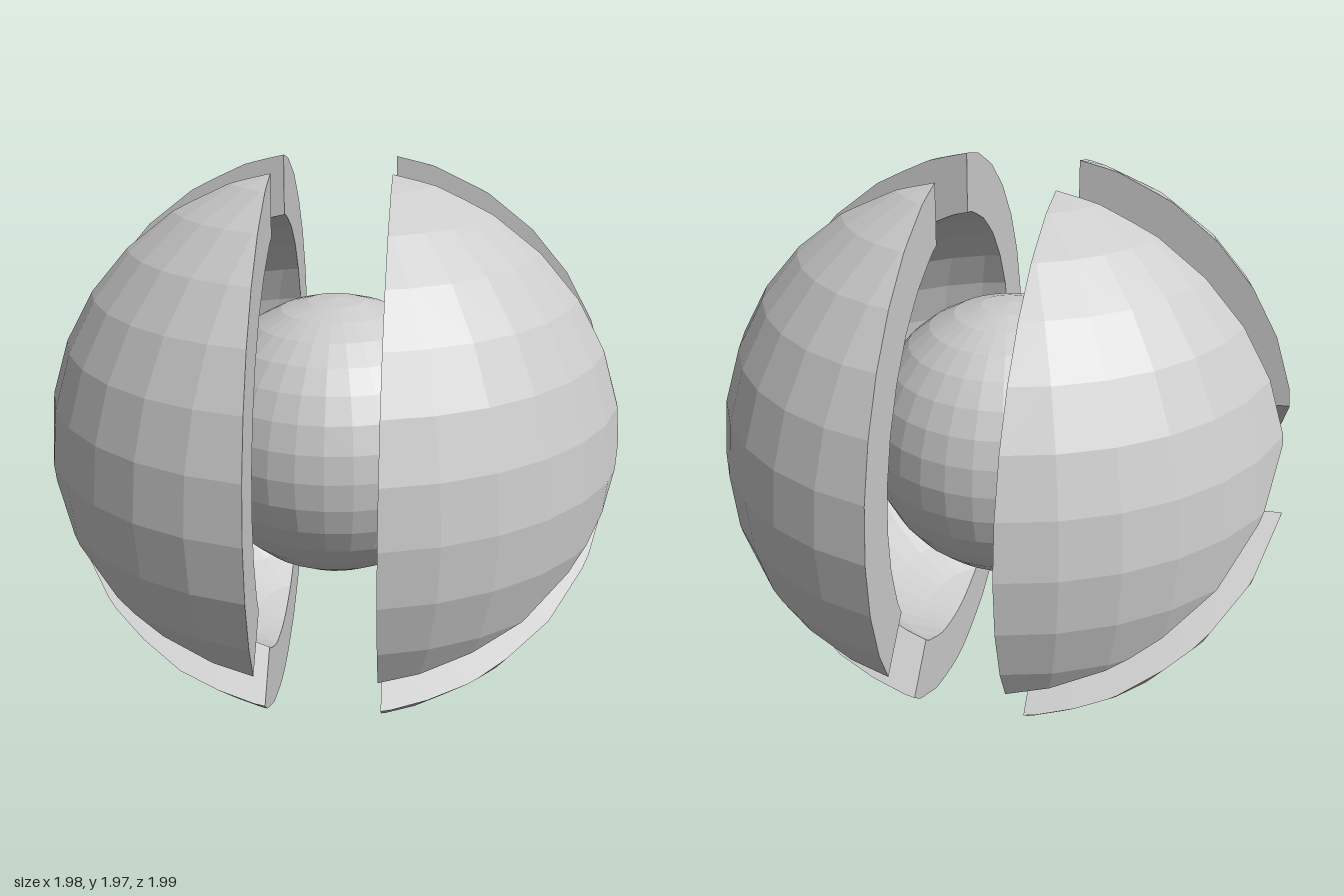
import * as THREE from 'three';

const OUTER = 1.015, INNER = 0.81, CORE = 0.505, CENTRE_Y = 1.0;
const COLS = 32, ROWS = 16;
const material = () => new THREE.MeshStandardMaterial({ color: 0xcccccc, flatShading: true });

// Point on a sphere by row (from the top pole) and column
function spherePoint(radius, row, col) {
  return new THREE.Vector3().setFromSphericalCoords(radius, (row / ROWS) * Math.PI, (col / COLS) * 2 * Math.PI);
}

// One thick cell of the shell: outer and inner faces show, the side walls do not
function shellCell(row, col) {
  const corners = [[row, col], [row + 1, col], [row + 1, col + 1], [row, col + 1]];
  const out = corners.map(([r, c]) => spherePoint(OUTER, r, c));
  const inn = corners.map(([r, c]) => spherePoint(INNER, r, c));
  const faces = [{ points: out, show: true }, { points: inn, show: true }];
  for (let i = 0; i < 4; i++) {
    const j = (i + 1) % 4;
    faces.push({ points: [out[i], out[j], inn[j], inn[i]], show: false });
  }
  return faces;
}

// Sort points lying in one plane around their middle
function sortAround(points, normal) {
  const mid = points.reduce((s, p) => s.add(p), new THREE.Vector3()).divideScalar(points.length);
  const u = new THREE.Vector3().subVectors(points[0], mid).normalize();
  const v = new THREE.Vector3().crossVectors(normal, u);
  const angle = (p) => {
    const d = p.clone().sub(mid);
    return Math.atan2(d.dot(v), d.dot(u));
  };
  return points.slice().sort((a, b) => angle(a) - angle(b));
}

// Keep the positive side of a plane and close the cut with a flat face
function clipCell(faces, plane) {
  const kept = [], cut = [];
  for (const { points, show } of faces) {
    const clipped = [];
    points.forEach((a, i) => {
      const b = points[(i + 1) % points.length];
      const da = plane.distanceToPoint(a), db = plane.distanceToPoint(b);
      if (da >= 0) clipped.push(a);
      if ((da >= 0) !== (db >= 0)) {
        const p = a.clone().lerp(b, da / (da - db));
        clipped.push(p);
        if (!cut.some((q) => q.distanceTo(p) < 1e-6)) cut.push(p);
      }
    });
    if (clipped.length > 2) kept.push({ points: clipped, show });
  }
  if (cut.length > 2) kept.push({ points: sortAround(cut, plane.normal), show: true });
  return kept;
}

// Part of the hollow sphere enclosed by a set of planes
function shellPiece(name, planes) {
  const positions = [];
  for (let row = 0; row < ROWS; row++) {
    for (let col = 0; col < COLS; col++) {
      const faces = planes.reduce(clipCell, shellCell(row, col));
      const all = faces.flatMap((f) => f.points);
      if (!all.length) continue;
      const middle = all.reduce((s, p) => s.add(p), new THREE.Vector3()).divideScalar(all.length);
      for (const { points, show } of faces) {
        if (!show) continue;
        for (let i = 1; i < points.length - 1; i++) {
          const tri = new THREE.Triangle(points[0], points[i], points[i + 1]);
          if (tri.getArea() < 1e-9) continue;
          const outward = tri.getNormal(new THREE.Vector3()).dot(middle.clone().sub(tri.a)) < 0;
          const order = outward ? [tri.a, tri.b, tri.c] : [tri.a, tri.c, tri.b];
          order.forEach((p) => positions.push(p.x, p.y, p.z));
        }
      }
    }
  }
  const geometry = new THREE.BufferGeometry();
  geometry.setAttribute('position', new THREE.Float32BufferAttribute(positions, 3));
  geometry.computeVertexNormals();
  const mesh = new THREE.Mesh(geometry, material());
  mesh.name = name;
  return mesh;
}

// Plane keeping  tilt * x + y * ny + z * nz >= offset
function cutPlane(tilt, ny, nz, offset) {
  const length = Math.hypot(tilt, ny, nz);
  return new THREE.Plane(new THREE.Vector3(tilt, ny, nz).divideScalar(length), -offset / length);
}

export function createModel() {
  const model = new THREE.Group();
  const shell = new THREE.Group();
  shell.name = 'segmentedShell';
  const d = Math.SQRT1_2;

  // Three wedges around the x axis, separated by slightly skewed gaps
  const wedges = {
    Front: [cutPlane(0.015, 0, 1, 0.187), cutPlane(0.022, d, d, 0.212)],
    Back: [cutPlane(-0.013, 0, -1, 0.19), cutPlane(0.022, d, -d, 0.23)],
    Bottom: [cutPlane(-0.019, -d, -d, 0.159), cutPlane(-0.019, -d, d, 0.144)],
  };

  // Each wedge is split into a left and a right piece
  for (const [side, sign] of [['left', 1], ['right', -1]]) {
    const middleGap = new THREE.Plane(new THREE.Vector3(sign, 0, 0), -0.2);
    for (const [name, planes] of Object.entries(wedges)) {
      shell.add(shellPiece(`${side}${name}Shell`, [middleGap, ...planes]));
    }
  }
  shell.position.y = CENTRE_Y;
  model.add(shell);

  // Solid ball in the middle
  const core = new THREE.Mesh(new THREE.SphereGeometry(CORE, COLS, ROWS), material());
  core.name = 'core';
  core.position.y = CENTRE_Y + 0.003;
  model.add(core);
  return model;
}
